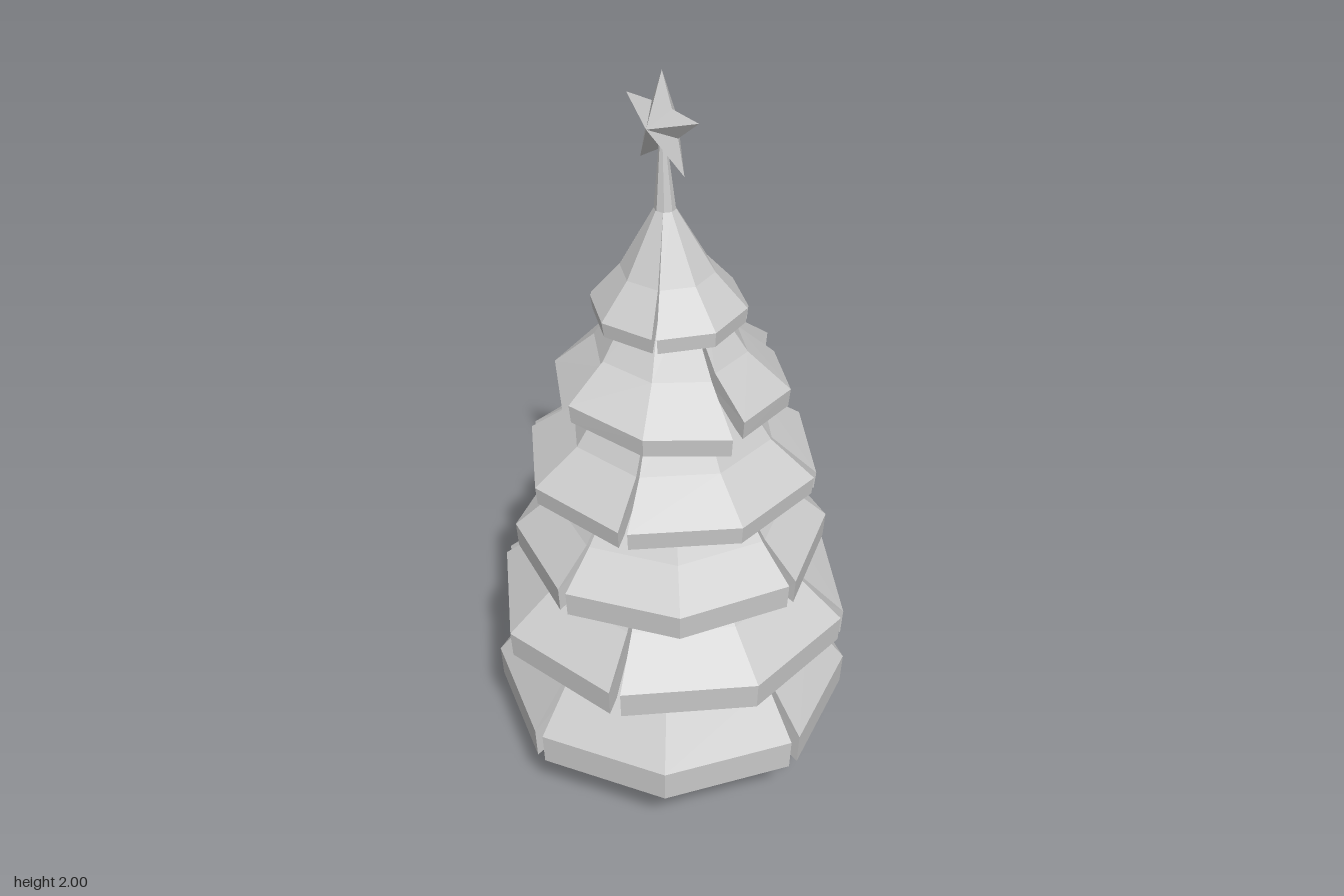
import * as THREE from 'three';

const DEG = Math.PI / 180;
const material = new THREE.MeshStandardMaterial({ color: 0xcccccc, flatShading: true });
// The upper tree leans slightly sideways
const lean = (y) => -0.05 * Math.max(0, y - 1.2);

function build(positions, index, name) {
  const geometry = new THREE.BufferGeometry();
  geometry.setAttribute('position', new THREE.Float32BufferAttribute(positions, 3));
  geometry.setIndex(index);
  geometry.computeVertexNormals();
  const mesh = new THREE.Mesh(geometry, material);
  mesh.name = name;
  return mesh;
}

// Thick quarter of a skirt: two facets, with ends that pull apart towards the rim
function branchPanel(tier, startAngle) {
  const { r, low, rim, mid, top, tilt = 0, gap = 1.8 } = tier;
  // Closed section: up the outside, down the inside [radius, height, openness]
  const section = [
    [r - 0.005, low, 1], [r, rim, 1], [mid[0], mid[1], 0.5], [top[0], top[1], 0],
    [top[0] * 0.6, top[1] - 0.02, 0], [mid[0] - 0.05, mid[1] - 0.035, 0.5], [r * 0.89, low + 0.012, 1],
  ];
  const n = section.length;
  const positions = [], index = [];
  for (let j = 0; j < 3; j++) {
    for (const [radius, y, open] of section) {
      const a = (startAngle + 45 * j + (1 - j) * gap * open) * DEG;
      const h = y + (1 - j) * tilt * open;
      positions.push(radius * Math.sin(a) + lean(h), h, radius * Math.cos(a));
    }
  }
  for (let j = 0; j < 2; j++) {
    for (let k = 0; k < n; k++) {
      const a = j * n + k, b = j * n + (k + 1) % n;
      index.push(a, a + n, b + n, a, b + n, b);
    }
  }
  // End caps
  for (const [a, b, c] of [[0, 1, 6], [1, 2, 5], [1, 5, 6], [2, 3, 4], [2, 4, 5]]) {
    index.push(a, b, c, 2 * n + a, 2 * n + c, 2 * n + b);
  }
  return build(positions, index, 'branchPanel');
}

// Bent eight-sided trunk from [height, centre x, radius] rings
function trunk() {
  const rings = [[0, -0.01, 0.13], [0.06, 0.02, 0.113], [0.13, 0.04, 0.1], [0.25, 0.045, 0.09], [0.4, 0.03, 0.085], [0.62, 0, 0.08]];
  const sides = 8, positions = [], index = [];
  for (const [y, cx, r] of rings) {
    for (let i = 0; i < sides; i++) {
      const a = (i + 0.5) / sides * Math.PI * 2;
      positions.push(cx + r * Math.sin(a), y, r * Math.cos(a));
    }
  }
  for (let k = 0; k < rings.length - 1; k++) {
    for (let i = 0; i < sides; i++) {
      const a = k * sides + i, b = k * sides + (i + 1) % sides;
      index.push(a, b, b + sides, a, b + sides, a + sides);
    }
  }
  const last = (rings.length - 1) * sides;
  for (let i = 1; i < sides - 1; i++) {
    index.push(0, i + 1, i, last, last + i, last + i + 1);
  }
  return build(positions, index, 'trunk');
}

// Five-pointed star swelling to a peak at front and back
function star() {
  const positions = [0, 0, 0.05, 0, 0, -0.05], index = [];
  for (let i = 0; i < 10; i++) {
    const a = i * 36 * DEG, r = i % 2 ? 0.06 : 0.135;
    positions.push(r * Math.sin(a), r * Math.cos(a), 0);
  }
  for (let i = 0; i < 10; i++) {
    const a = 2 + i, b = 2 + (i + 1) % 10;
    index.push(0, b, a, 1, a, b);
  }
  const mesh = build(positions, index, 'star');
  mesh.position.set(-0.033, 1.865, 0);
  return mesh;
}

export function createModel() {
  const tree = new THREE.Group();
  tree.name = 'tree';
  tree.add(trunk());

  // Skirts from bottom to top; turn is the angle of the first split
  const tiers = [
    { r: 0.49, low: 0.16, rim: 0.25, mid: [0.385, 0.385], top: [0.24, 0.58], turn: 1 },
    { r: 0.485, low: 0.435, rim: 0.51, mid: [0.36, 0.615], top: [0.2, 0.8], turn: 30.5 },
    { r: 0.42, low: 0.655, rim: 0.725, mid: [0.32, 0.815], top: [0.16, 1.02], turn: 6 },
    { r: 0.39, low: 0.905, rim: 0.955, mid: [0.27, 1.045], top: [0.14, 1.24], turn: 30 },
    { r: 0.31, low: 1.135, rim: 1.185, mid: [0.2, 1.28], top: [0.09, 1.45], turn: -10, tilt: 0.02, gap: 3 },
    { r: 0.2, low: 1.36, rim: 1.4, mid: [0.12, 1.49], top: [0.028, 1.65], turn: 38 },
  ];
  tiers.forEach((tier, i) => {
    const group = new THREE.Group();
    group.name = 'branchTier' + (i + 1);
    for (let q = 0; q < 4; q++) group.add(branchPanel(tier, tier.turn + 90 * q));
    tree.add(group);
  });

  // Thin tip that carries the star
  const tip = new THREE.Mesh(new THREE.CylinderGeometry(0.008, 0.028, 0.2, 8), material);
  tip.name = 'tip';
  tip.position.set(-0.027, 1.74, 0);
  tip.rotation.z = 0.04;
  tree.add(tip, star());
  return tree;
}
